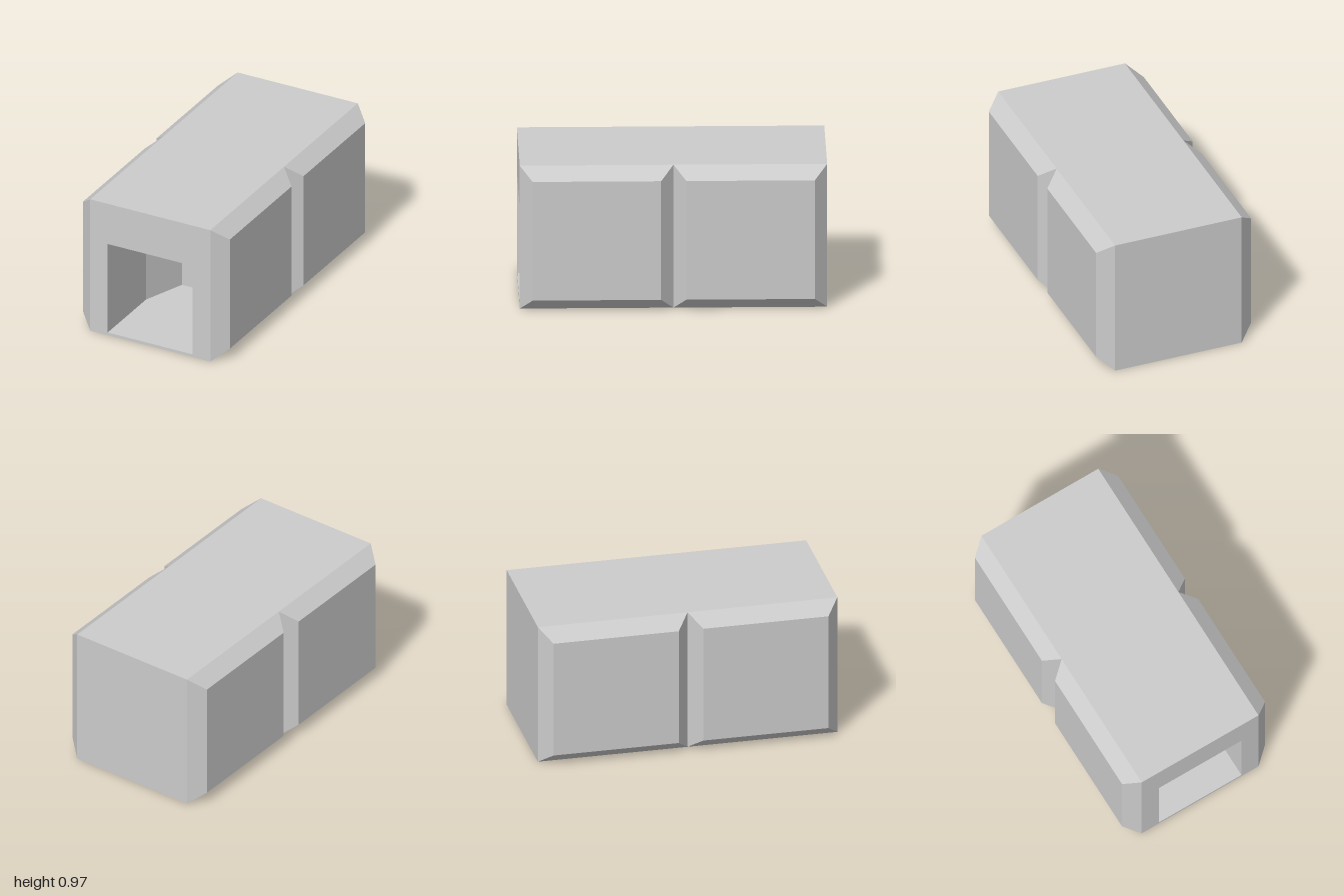
import * as THREE from 'three';

const H = 0.968;            // body height
const CORE = 0.445;         // half width of the core block
const OUT = 0.545;          // half width across the side panels
const BEVEL = 0.082;        // panel bevel along y and z
const FLOOR = 0.02, CEIL = 0.672; // recess heights

// Recess outline seen in plan, as [x, z], from the front round the back
const PLAN = [[0.315, 1], [0.315, 0.48], [0.208, 0.19], [-0.208, 0.19], [-0.315, 0.48], [-0.315, 1]];

const material = new THREE.MeshStandardMaterial({ color: 0xcccccc, flatShading: true });

function addMesh(parent, geometry, name) {
  const mesh = new THREE.Mesh(geometry, material);
  mesh.name = name;
  parent.add(mesh);
  return mesh;
}

// Flat four-cornered faces, corners counter-clockwise from outside
function quads(list) {
  const points = list.flatMap(([a, b, c, d]) => [a, b, c, a, c, d]);
  const geometry = new THREE.BufferGeometry();
  geometry.setAttribute('position', new THREE.Float32BufferAttribute(points.flat(), 3));
  geometry.computeVertexNormals();
  return geometry;
}

function polygon(points) {
  return new THREE.Shape(points.map(([x, y]) => new THREE.Vector2(x, y)));
}

// Raised panel with four bevelled edges; side is +1 or -1 in x
function sidePanel(side, z0, z1) {
  const ring = (x, inset) => [
    [side * x, inset, z1 - inset], [side * x, inset, z0 + inset],
    [side * x, H - inset, z0 + inset], [side * x, H - inset, z1 - inset],
  ];
  const base = ring(CORE, 0), face = ring(OUT, BEVEL);
  const list = [face];
  for (let i = 0; i < 4; i++) {
    const j = (i + 1) % 4;
    list.push([base[i], base[j], face[j], face[i]]);
  }
  return quads(side > 0 ? list : list.map((q) => [...q].reverse()));
}

export function createModel() {
  const group = new THREE.Group();
  group.name = 'container';

  // Top, bottom and back of the core
  const w = CORE;
  addMesh(group, quads([
    [[-w, H, 1], [w, H, 1], [w, H, -1], [-w, H, -1]],
    [[-w, 0, -1], [w, 0, -1], [w, 0, 1], [-w, 0, 1]],
    [[w, 0, -1], [-w, 0, -1], [-w, H, -1], [w, H, -1]],
  ]), 'coreShell');

  // Front wall with the opening
  const front = polygon([[-w, 0], [w, 0], [w, H], [-w, H]]);
  const o = PLAN[0][0];
  front.holes.push(polygon([[-o, FLOOR], [-o, CEIL], [o, CEIL], [o, FLOOR]]));
  addMesh(group, new THREE.ShapeGeometry(front), 'frontWall').position.z = 1;

  // Recess: walls narrowing towards the back, floor and ceiling
  const recess = new THREE.Group();
  recess.name = 'recess';
  group.add(recess);
  const walls = PLAN.slice(1).map(([qx, qz], i) => {
    const [px, pz] = PLAN[i];
    return [[qx, FLOOR, qz], [px, FLOOR, pz], [px, CEIL, pz], [qx, CEIL, qz]];
  });
  addMesh(recess, quads(walls), 'recessWalls');
  const floor = new THREE.ShapeGeometry(polygon(PLAN.map(([x, z]) => [x, -z]))).rotateX(-Math.PI / 2);
  addMesh(recess, floor, 'recessFloor').position.y = FLOOR;
  const ceiling = new THREE.ShapeGeometry(polygon(PLAN)).rotateX(Math.PI / 2);
  addMesh(recess, ceiling, 'recessCeiling').position.y = CEIL;

  // Two bevelled panels on each side
  for (const side of [1, -1]) {
    const label = side > 0 ? 'left' : 'right';
    addMesh(group, sidePanel(side, 0, 1), label + 'FrontPanel');
    addMesh(group, sidePanel(side, -1, 0), label + 'BackPanel');
  }
  return group;
}
